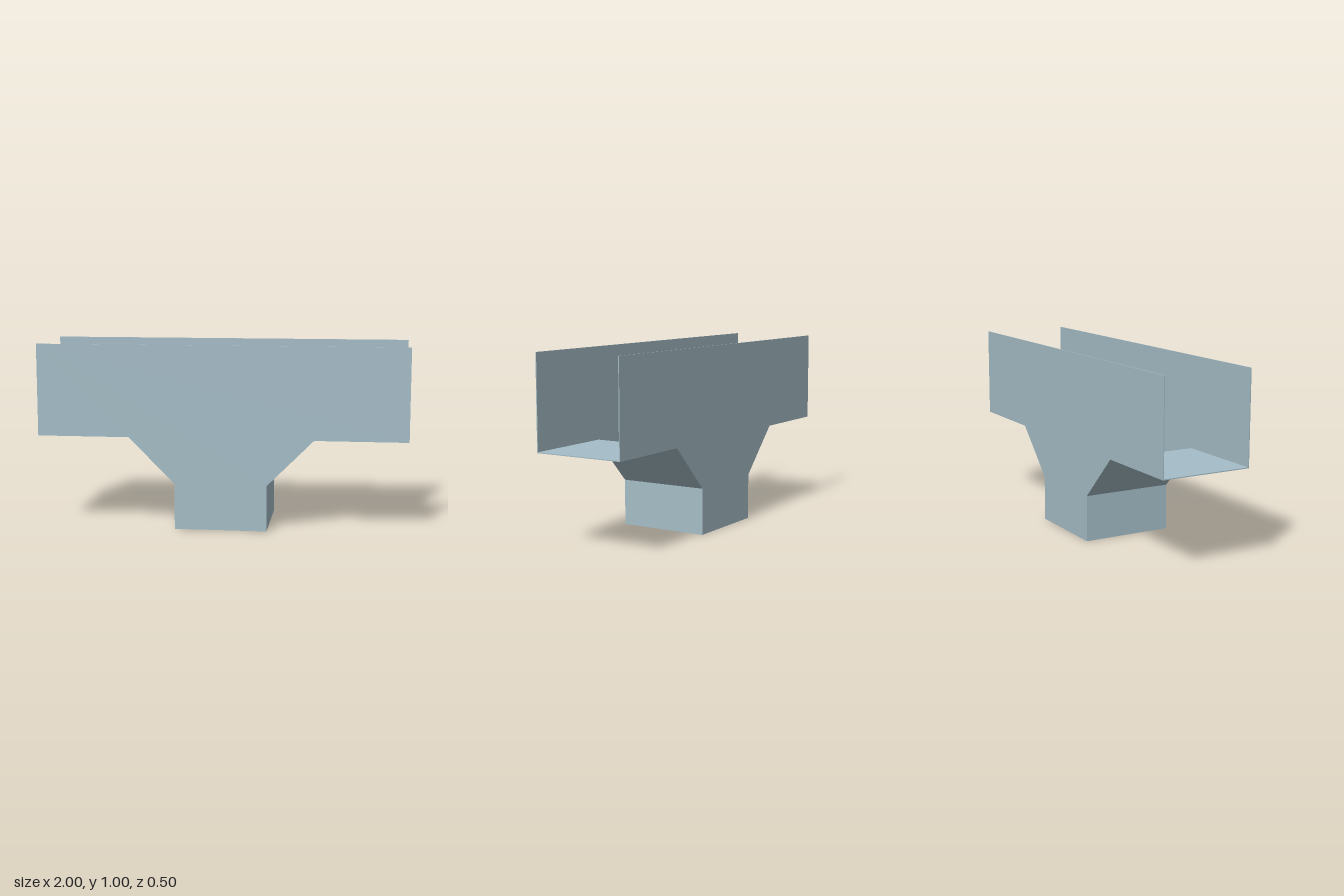
import * as THREE from 'three';

const T = 0.005; // sheet thickness
const HALF_DEPTH = 0.25;

// Extrudes an outline along z, starting at z0
function plate(name, points, z0, depth, material) {
  const shape = new THREE.Shape(points.map(([x, y]) => new THREE.Vector2(x, y)));
  const geometry = new THREE.ExtrudeGeometry(shape, { depth, bevelEnabled: false });
  geometry.translate(0, 0, z0);
  const mesh = new THREE.Mesh(geometry, material);
  mesh.name = name;
  return mesh;
}

export function createModel() {
  const group = new THREE.Group();
  group.name = 'troughTee';
  const sheetMetal = new THREE.MeshStandardMaterial({ color: 0xa5bdc7 });
  sheetMetal.name = 'sheetMetal';

  // T-shaped walls at the front and back
  const half = [[1, 1], [1, 0.5], [0.5, 0.5], [0.25, 0.25], [0.25, 0]];
  const outline = [...half, ...half.map(([x, y]) => [-x, y]).reverse()];
  group.add(plate('frontWall', outline, HALF_DEPTH - T, T, sheetMetal));
  group.add(plate('backWall', outline, -HALF_DEPTH, T, sheetMetal));

  // Bent floor strips, running from each open end down into the open outlet
  const m = T * Math.tan(Math.PI / 8); // mitre offset at the bends
  const strip = [
    ...half.slice(1),
    [0.25 - T, 0], [0.25 - T, 0.25 + m], [0.5 - m, 0.5 + T], [1, 0.5 + T],
  ];
  for (const [side, s] of [['left', 1], ['right', -1]]) {
    const points = strip.map(([x, y]) => [s * x, y]);
    group.add(plate(side + 'Floor', points, -HALF_DEPTH + T, 2 * (HALF_DEPTH - T), sheetMetal));
  }
  return group;
}
